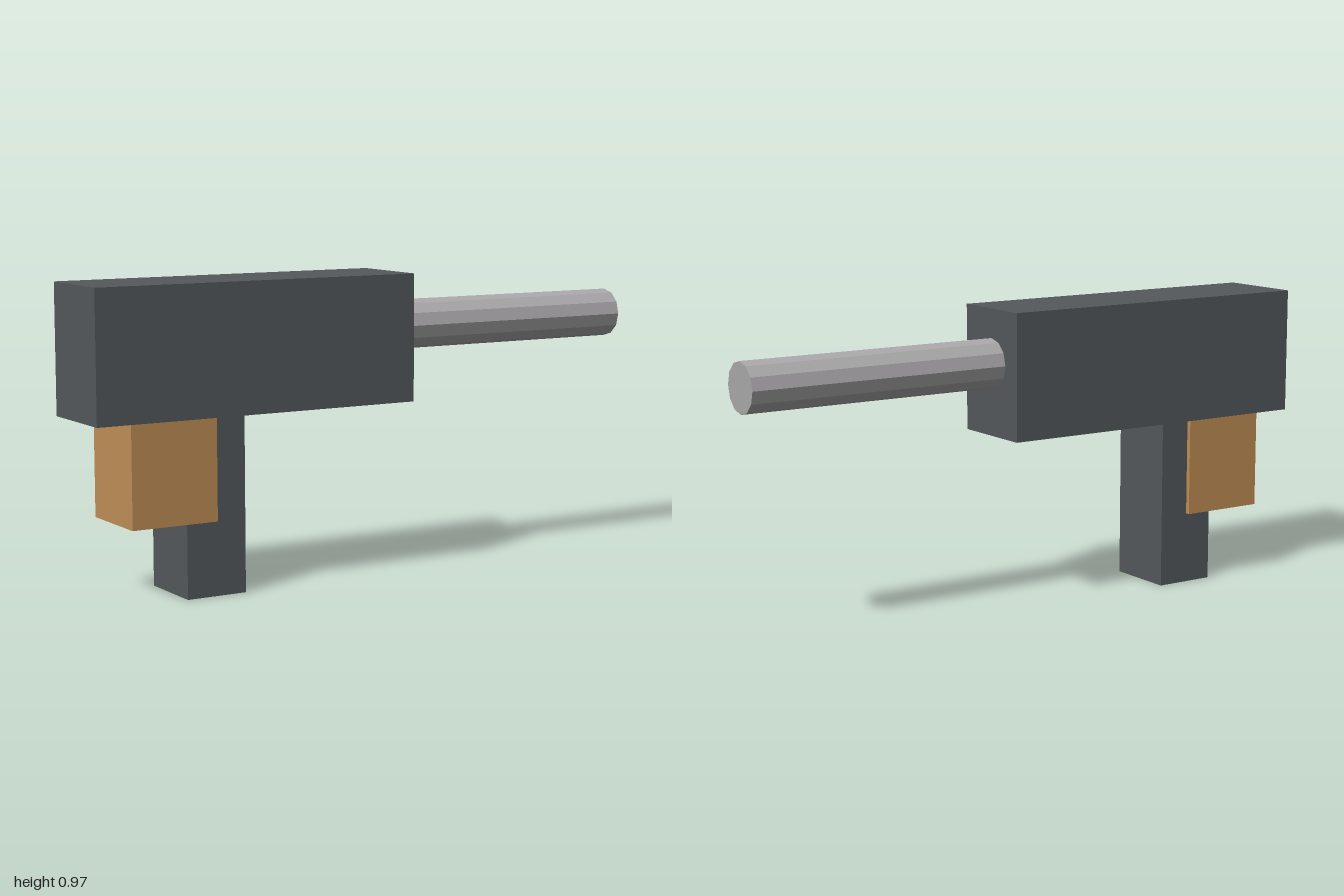
import * as THREE from 'three';

const material = (name, color, flatShading = false) => {
  const m = new THREE.MeshStandardMaterial({ color, flatShading });
  m.name = name;
  return m;
};

export function createModel() {
  const group = new THREE.Group();
  group.name = 'model';
  const darkMetal = material('dark metal', 0x55595c);
  const paleMetal = material('pale metal', 0xaba9ab, true);
  const wood = material('wood', 0xc19056);

  // Box given by its x and y limits and its depth, centred on z
  const box = (name, mat, x0, x1, y0, y1, depth) => {
    const mesh = new THREE.Mesh(new THREE.BoxGeometry(x1 - x0, y1 - y0, depth), mat);
    mesh.position.set((x0 + x1) / 2, (y0 + y1) / 2, 0);
    mesh.name = name;
    group.add(mesh);
  };

  box('body', darkMetal, -1, 0.113, 0.56, 0.972, 0.292);
  box('lowerPost', darkMetal, -0.693, -0.491, 0, 0.56, 0.235);
  box('woodenBlock', wood, -0.883, -0.595, 0.237, 0.56, 0.265);

  // Twelve-sided rod, set slightly into the body
  const start = 0.1, end = 1;
  const rod = new THREE.Mesh(new THREE.CylinderGeometry(0.081, 0.081, end - start, 12), paleMetal);
  rod.rotation.z = -Math.PI / 2;
  rod.position.set((start + end) / 2, 0.796, 0);
  rod.name = 'rod';
  group.add(rod);

  return group;
}
